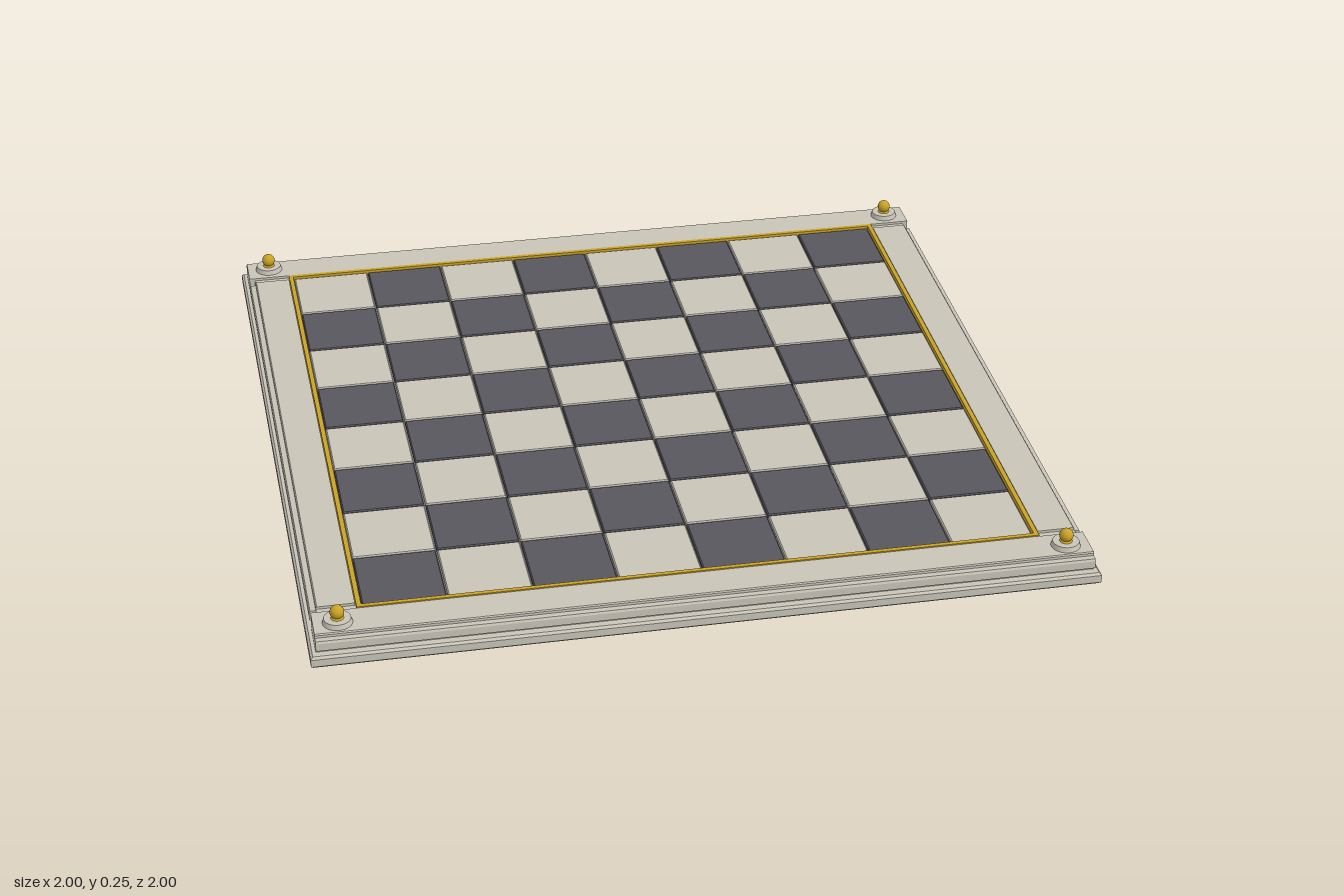
import * as THREE from 'three';

const mat = (name, color) => {
  const m = new THREE.MeshStandardMaterial({ color });
  m.name = name;
  return m;
};

export function createModel() {
  const stone = mat('pale stone', 0xc8c4b8);
  const slate = mat('dark slate', 0x58575e);
  const gold = mat('gold', 0xc9a227);
  const model = new THREE.Group();
  model.name = 'chessBoard';

  const add = (name, geometry, material, x = 0, y = 0, z = 0, parent = model) => {
    const mesh = new THREE.Mesh(geometry, material);
    mesh.name = name;
    mesh.position.set(x, y, z);
    parent.add(mesh);
    return mesh;
  };

  // Square plate with chamfered edges: four-sided lathe-like stack
  const chamferedPlate = (size, y0, y1, c) => {
    const h = size / 2, k = Math.SQRT2;
    const pts = [[0, y0], [h - c, y0], [h, y0 + c], [h, y1 - c], [h - c, y1], [0, y1]]
      .map(([r, y]) => new THREE.Vector2(r * k, y));
    const g = new THREE.LatheGeometry(pts, 4, Math.PI / 4).toNonIndexed();
    g.computeVertexNormals();
    return g;
  };

  // Pedestal: sloped foot, round column, shallow flare
  add('foot', new THREE.CylinderGeometry(0.43, 0.512, 0.057, 64), stone, 0, 0.0285);
  add('column', new THREE.CylinderGeometry(0.3, 0.3, 0.055, 64), stone, 0, 0.082);
  add('flare', new THREE.CylinderGeometry(0.512, 0.3, 0.026, 64), stone, 0, 0.117);

  // Base slab and playing bed
  add('baseSlab', chamferedPlate(2, 0.128, 0.16, 0.006), stone);
  add('bed', new THREE.BoxGeometry(1.74, 0.035, 1.74), stone, 0, 0.175);

  // Moulded border rails, stepped on the outer side
  const profile = new THREE.Shape([
    [0.873, 0.158], [0.975, 0.158], [0.975, 0.168], [0.987, 0.17], [0.987, 0.19],
    [0.984, 0.196], [0.97, 0.197], [0.97, 0.204], [0.967, 0.207], [0.873, 0.207],
  ].map(([x, y]) => new THREE.Vector2(x, y)));
  const railGeometry = (length) => new THREE.ExtrudeGeometry(profile,
    { depth: length, bevelEnabled: false }).translate(0, 0, -length / 2);
  const longRail = railGeometry(1.97), shortRail = railGeometry(1.7);
  ['leftRail', 'backRail', 'rightRail', 'frontRail'].forEach((name, i) => {
    const rail = add(name, i % 2 ? longRail : shortRail, stone);
    rail.rotation.y = i * Math.PI / 2;
  });
  // Low filler closing the joints between rails
  for (const sx of [-1, 1]) for (const sz of [-1, 1])
    add('railJoint', new THREE.BoxGeometry(0.1, 0.042, 0.024), stone, sx * 0.92, 0.179, sz * 0.861);

  // Gold inlay around the squares
  const inlay = new THREE.Group();
  inlay.name = 'goldInlay';
  model.add(inlay);
  for (const s of [-1, 1]) {
    add('inlayStrip', new THREE.BoxGeometry(1.742, 0.024, 0.012), gold, 0, 0.197, s * 0.865, inlay);
    add('inlayStrip', new THREE.BoxGeometry(0.012, 0.024, 1.718), gold, s * 0.865, 0.197, 0, inlay);
  }

  // Eight by eight squares with small gaps
  const squares = new THREE.Group();
  squares.name = 'squares';
  model.add(squares);
  const pitch = 0.2145;
  const tile = chamferedPlate(pitch - 0.003, 0.185, 0.204, 0.003);
  for (let row = 0; row < 8; row++) for (let col = 0; col < 8; col++) {
    const dark = (row + col) % 2 === 1;
    add(dark ? 'darkSquare' : 'lightSquare', tile, dark ? slate : stone,
      (col - 3.5) * pitch, 0, (row - 3.5) * pitch, squares);
  }

  // Corner finials: stone collar, gold neck and ball
  const collar = new THREE.CylinderGeometry(0.034, 0.038, 0.014, 32);
  const neck = new THREE.CylinderGeometry(0.01, 0.018, 0.01, 24);
  const ball = new THREE.SphereGeometry(0.018, 24, 16);
  for (const sx of [-1, 1]) for (const sz of [-1, 1]) {
    const finial = new THREE.Group();
    finial.name = 'cornerFinial';
    finial.position.set(sx * 0.924, 0, sz * 0.924);
    model.add(finial);
    add('collar', collar, stone, 0, 0.213, 0, finial);
    add('neck', neck, gold, 0, 0.223, 0, finial);
    add('ball', ball, gold, 0, 0.237, 0, finial);
  }
  return model;
}
